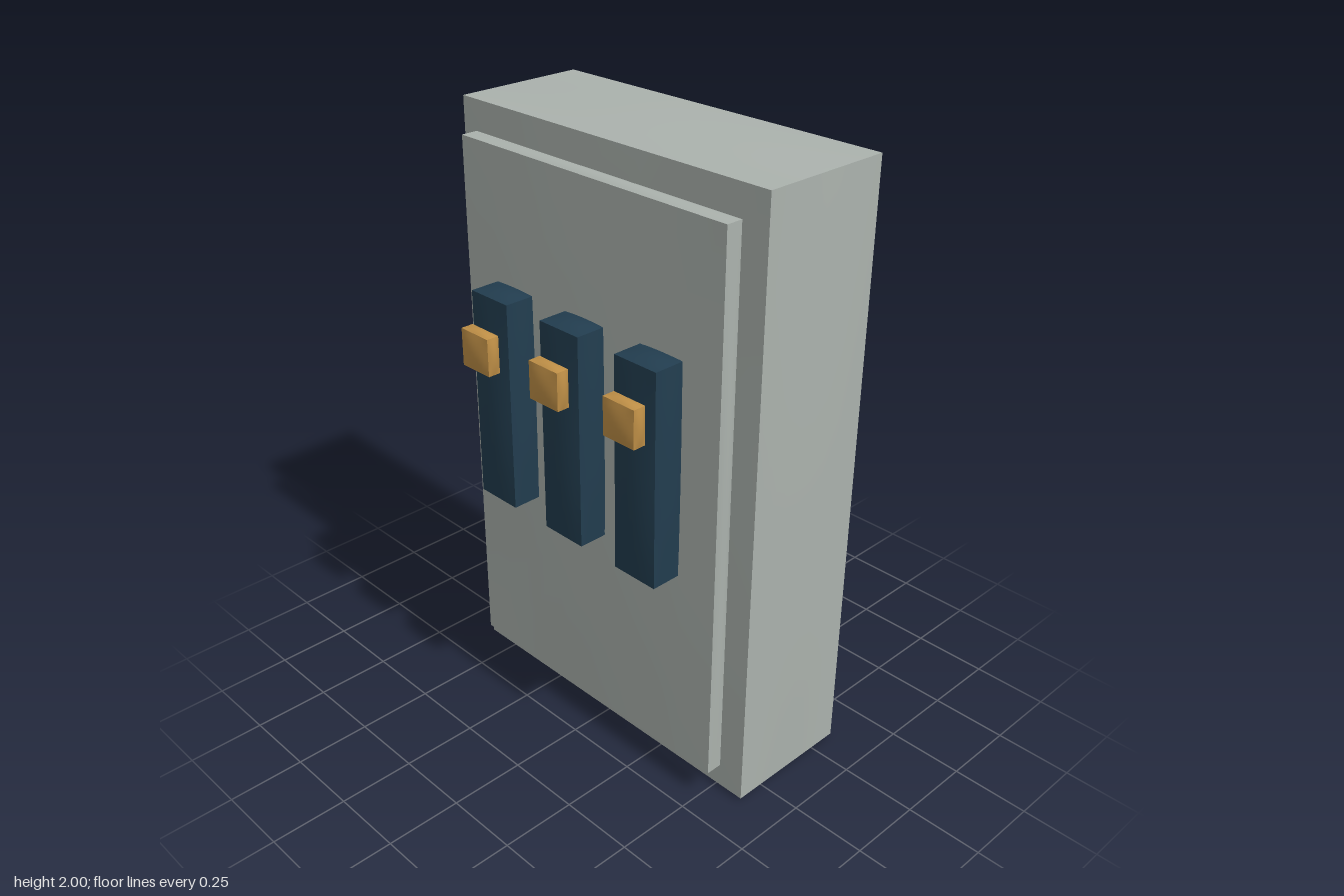
import * as THREE from 'three';

const grey = new THREE.MeshStandardMaterial({ color: 0xabb2ad });
grey.name = 'light grey';
const navy = new THREE.MeshStandardMaterial({ color: 0x223d4f });
navy.name = 'dark navy';
const amber = new THREE.MeshStandardMaterial({ color: 0xc09047 });
amber.name = 'amber';

// Box with straight edges whose six faces swell outwards by `bulge`
function pillowBox(name, material, size, centre, bulge) {
  const geometry = new THREE.BoxGeometry(...size, 8, 8, 8);
  const pos = geometry.attributes.position;
  const half = size.map((s) => s / 2);
  for (let i = 0; i < pos.count; i++) {
    const p = [pos.getX(i), pos.getY(i), pos.getZ(i)];
    const u = p.map((c, k) => c / half[k]);
    const fall = u.map((c) => Math.max(0, 1 - c * c));
    for (let k = 0; k < 3; k++) {
      if (Math.abs(u[k]) > 0.999) {
        p[k] += Math.sign(u[k]) * bulge * fall[(k + 1) % 3] * fall[(k + 2) % 3];
      }
    }
    pos.setXYZ(i, ...p);
  }
  geometry.computeVertexNormals();
  const mesh = new THREE.Mesh(geometry, material);
  mesh.name = name;
  mesh.position.set(...centre);
  return mesh;
}

export function createModel() {
  const group = new THREE.Group();
  group.name = 'switchPanel';

  // Housing and the cover plate standing just clear of it
  group.add(pillowBox('housing', grey, [1.222, 1.976, 0.443], [0, 1, -0.118], 0.012));
  group.add(pillowBox('coverPlate', grey, [1.068, 1.788, 0.055], [0, 1.004, 0.147], 0.008));

  // Three slider tracks, each with a knob near its top
  for (const side of [-1, 0, 1]) {
    const slider = new THREE.Group();
    slider.name = side < 0 ? 'rightSlider' : side > 0 ? 'leftSlider' : 'middleSlider';
    slider.position.x = side * 0.311;
    slider.add(pillowBox('track', navy, [0.162, 0.694, 0.108], [0, 1.127, 0.224], 0.01));
    slider.add(pillowBox('knob', amber, [0.122, 0.122, 0.042], [0, 1.315, 0.319], 0.008));
    group.add(slider);
  }
  return group;
}
